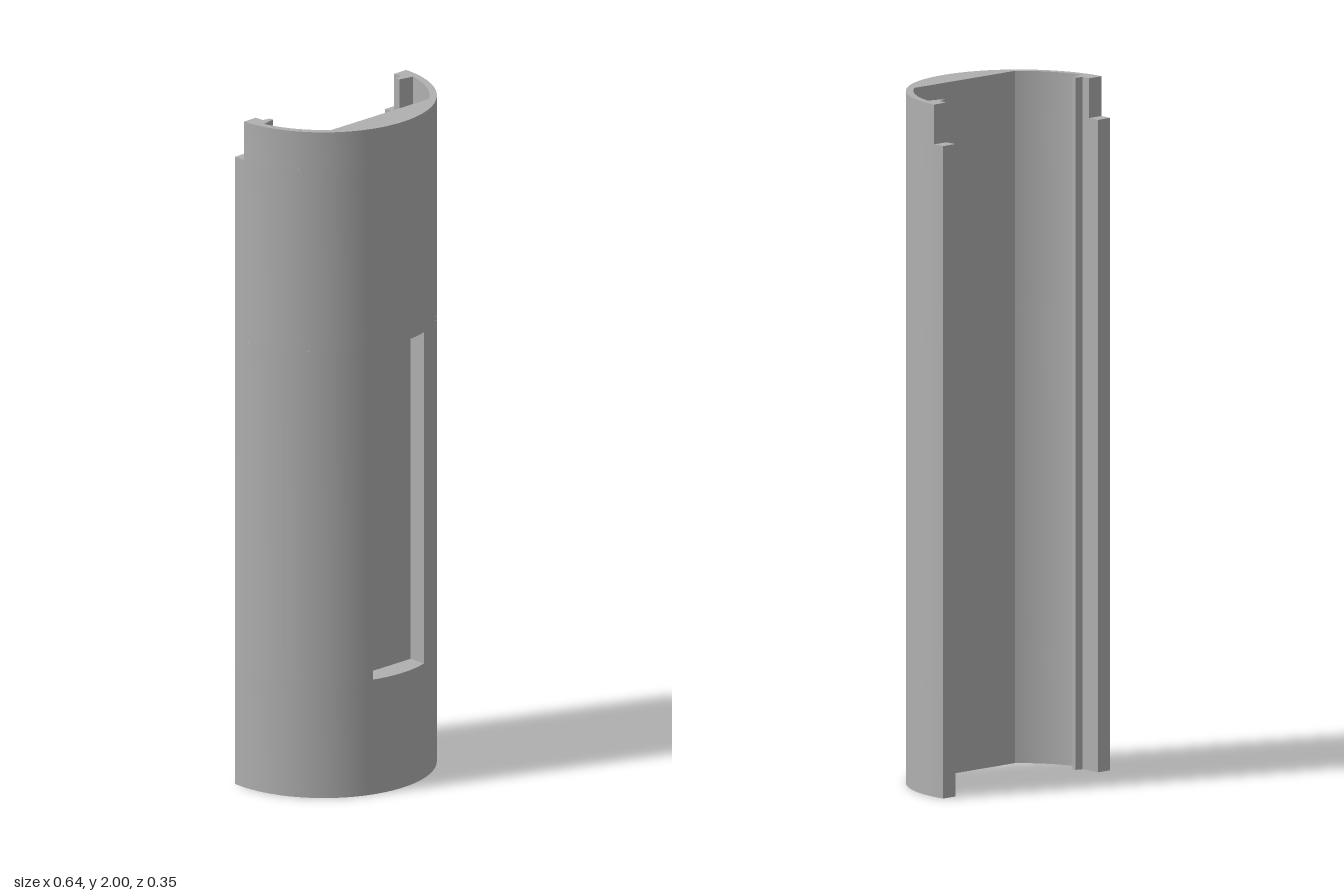
import * as THREE from 'three';
import { toCreasedNormals } from 'three/addons/utils/BufferGeometryUtils.js';

const R = 0.321, INNER_R = 0.3, CZ = -0.145;   // concentric shell arcs
const BACK = -0.177, STEP_BACK = -0.14;        // rear edge, and rear edge above the step
const STEP_Y = 1.885, TOP = 2;
const POCKET = { x: 0.1, z: 0.105, y0: 0.345, y1: 1.34 };

// Points on a shell arc as [x, z]
function arc(r, a0, a1, n) {
  return Array.from({ length: n + 1 }, (_, i) => {
    const a = a0 + (a1 - a0) * i / n;
    return [r * Math.cos(a), CZ + r * Math.sin(a)];
  });
}
const mirror = pts => pts.map(([x, z]) => [-x, z]);

// Closed cross-section, running along the outside and back along the inside
function outline(back, pocket) {
  const end = pocket ? Math.acos(POCKET.x / R) : Math.PI / 2;
  const outer = arc(R, Math.asin((back - CZ) / R), end, 32);
  if (pocket) outer.push([POCKET.x, POCKET.z]);
  const inner = [
    [0.273, back], [0.273, -0.112], [0.25, -0.107], [0.25, -0.095],
    ...arc(INNER_R, Math.asin(0.06 / INNER_R), Math.asin(0.23 / INNER_R), 16),
  ];
  const otherOuter = mirror(outer).reverse();
  if (!pocket) otherOuter.shift();
  return [...outer, ...otherOuter, ...mirror(inner), ...inner.slice().reverse()];
}

// Upright walls around a cross-section
function walls(pts, y0, y1) {
  const pos = [];
  pts.forEach(([ax, az], i) => {
    const [bx, bz] = pts[(i + 1) % pts.length];
    pos.push(ax, y0, az, bx, y1, bz, bx, y0, bz);
    pos.push(ax, y0, az, ax, y1, az, bx, y1, bz);
  });
  const g = new THREE.BufferGeometry();
  g.setAttribute('position', new THREE.Float32BufferAttribute(pos, 3));
  return toCreasedNormals(g, 0.4);
}

// Flat horizontal face at height y
function cap(pts, y, up) {
  const s = up ? -1 : 1;
  const shape = new THREE.Shape(pts.map(([x, z]) => new THREE.Vector2(x, s * z)));
  return new THREE.ShapeGeometry(shape).rotateX(s * Math.PI / 2).translate(0, y, 0);
}

export function createModel() {
  const grey = new THREE.MeshStandardMaterial({ color: 0xb0b0b0 });
  grey.name = 'grey';
  const model = new THREE.Group();
  model.name = 'halfRoundCover';
  const add = (name, geometry) => {
    const mesh = new THREE.Mesh(geometry, grey);
    mesh.name = name;
    model.add(mesh);
  };

  // Shell walls, stacked by height
  const full = outline(BACK, false), top = outline(STEP_BACK, false);
  add('lowerShell', walls(full, 0, POCKET.y0));
  add('pocketShell', walls(outline(BACK, true), POCKET.y0, POCKET.y1));
  add('upperShell', walls(full, POCKET.y1, STEP_Y));
  add('topShell', walls(top, STEP_Y, TOP));

  // End faces
  add('bottomFace', cap(full, 0, false));
  add('topFace', cap(top, TOP, true));

  // Sill and head of the front pocket
  const a = Math.acos(POCKET.x / R);
  const ledge = [...arc(R, a, Math.PI - a, 20), [-POCKET.x, POCKET.z], [POCKET.x, POCKET.z]];
  add('pocketSill', cap(ledge, POCKET.y0, true));
  add('pocketHead', cap(ledge, POCKET.y1, false));

  // Shelves where the rear edges step in near the top
  const shelf = [
    ...arc(R, Math.asin((BACK - CZ) / R), Math.asin((STEP_BACK - CZ) / R), 4),
    [0.273, STEP_BACK], [0.273, BACK],
  ];
  add('leftStep', cap(shelf, STEP_Y, true));
  add('rightStep', cap(mirror(shelf), STEP_Y, true));
  return model;
}
